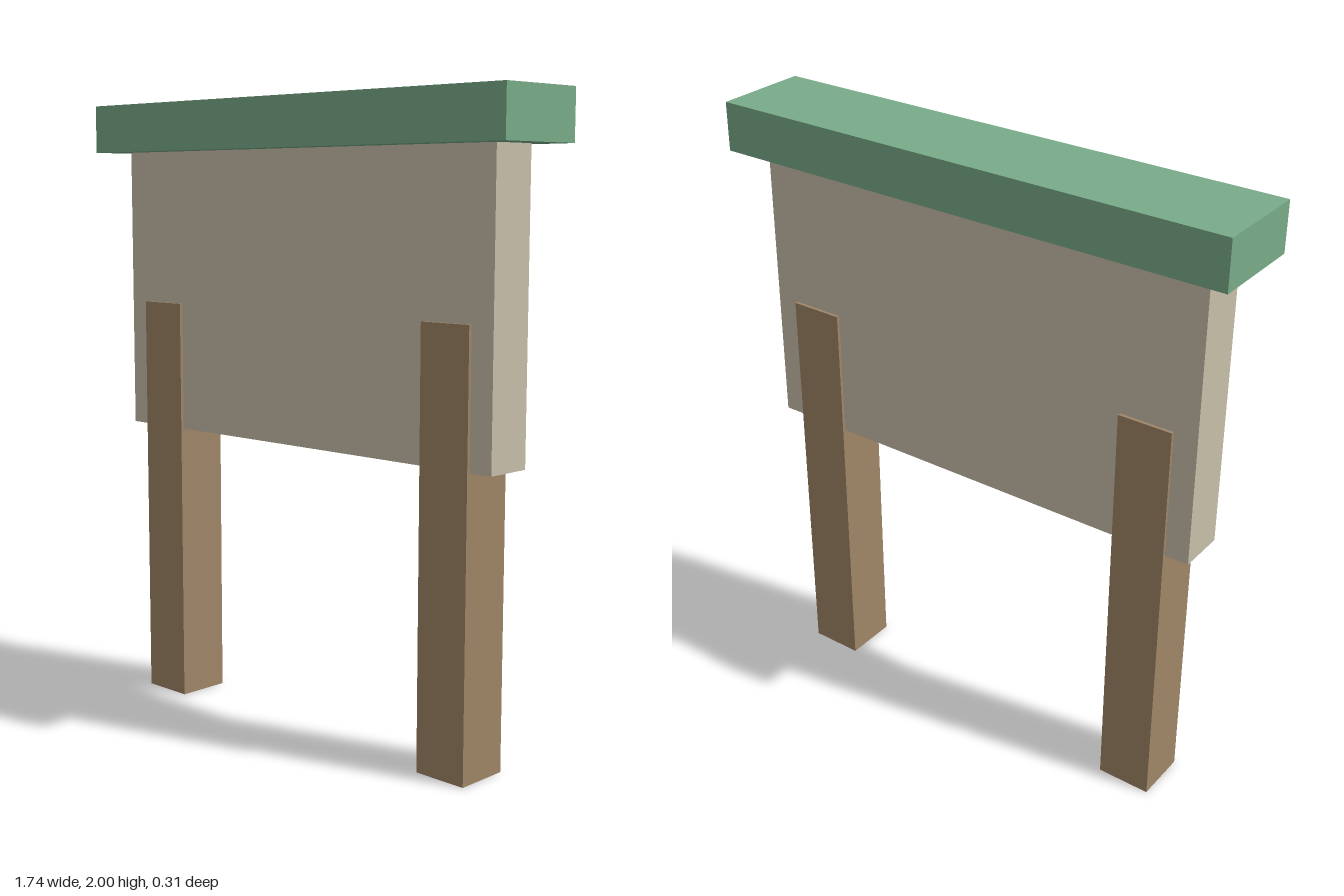
import * as THREE from 'three';

const material = (name, color) => {
  const m = new THREE.MeshStandardMaterial({ color });
  m.name = name;
  return m;
};

// Box with its base at height y
function block(name, mat, [w, h, d], x, y) {
  const mesh = new THREE.Mesh(new THREE.BoxGeometry(w, h, d), mat);
  mesh.name = name;
  mesh.position.set(x, y + h / 2, 0);
  return mesh;
}

export function createModel() {
  const green = material('roof green', 0x78ab88);
  const beige = material('panel beige', 0xc8bfa9);
  const brown = material('post brown', 0x9f8567);

  const group = new THREE.Group();
  group.name = 'signboard';

  // Cap and board
  group.add(block('roofCap', green, [1.74, 0.155, 0.312], 0, 1.845));
  group.add(block('boardPanel', beige, [1.56, 0.92, 0.156], 0, 0.925));

  // Posts, slightly thicker than the board so they stand proud on both faces
  for (const [name, side] of [['leftPost', 1], ['rightPost', -1]]) {
    group.add(block(name, brown, [0.177, 1.345, 0.177], side * 0.614, 0));
  }
  return group;
}
